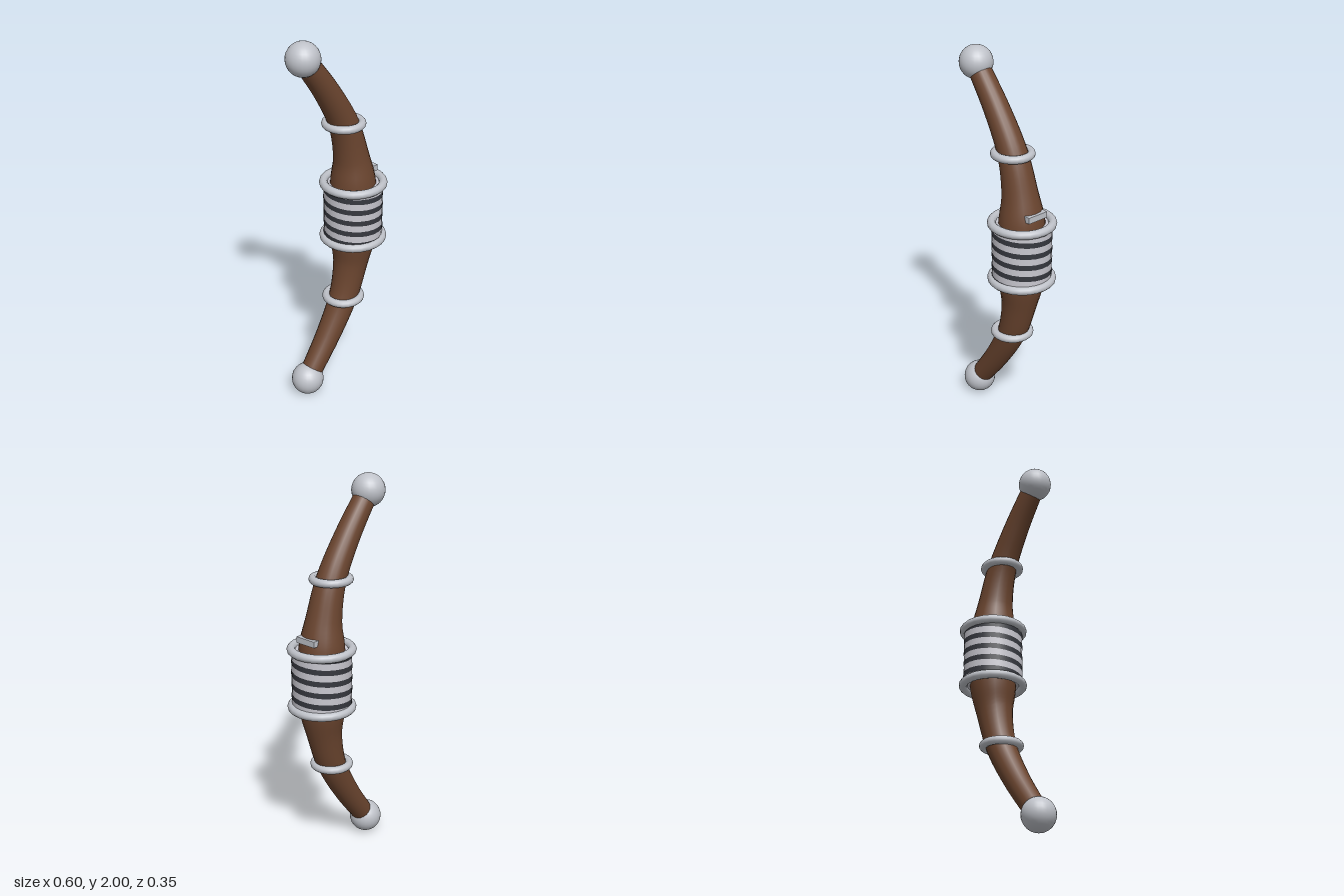
import * as THREE from 'three';

export function createModel() {
  const group = new THREE.Group();
  const mat = (name, color) => {
    const m = new THREE.MeshStandardMaterial({ color });
    m.name = name;
    return m;
  };
  const wood = mat('wood', 0x6b452f);
  const metal = mat('metal', 0xbfc2c9);
  const wrap = mat('pale wrap', 0xc9c8d0);
  const cord = mat('dark cord', 0x36383f);

  const add = (name, geometry, material, x = 0, y = 0, z = 0) => {
    const mesh = new THREE.Mesh(geometry, material);
    mesh.name = name;
    mesh.position.set(x, y, z);
    group.add(mesh);
    return mesh;
  };

  // Curved stave: upper half [x, height above middle, radius], mirrored downwards
  const half = [
    [-0.215, 0.915, 0.056], [-0.058, 0.7, 0.066], [0.055, 0.5, 0.077],
    [0.106, 0.31, 0.093], [0.12, 0.18, 0.117], [0.123, 0.06, 0.123],
  ];
  const stations = [
    ...half.map(([x, h, r]) => [x, 1 - h, r]),
    ...half.slice().reverse().map(([x, h, r]) => [x, 1 + h, r]),
  ];
  const path = new THREE.CatmullRomCurve3(stations.map(([x, y]) => new THREE.Vector3(x, y, 0)));
  const radii = new THREE.CatmullRomCurve3(stations.map(([, y, r]) => new THREE.Vector3(r, y, 0)));
  const ROWS = 66, SIDES = 20;
  const pos = [], idx = [];
  for (let i = 0; i <= ROWS; i++) {
    const t = i / ROWS;
    const c = path.getPoint(t), d = path.getTangent(t), r = radii.getPoint(t).x;
    for (let j = 0; j < SIDES; j++) {
      const a = (j / SIDES) * Math.PI * 2;
      const u = Math.cos(a) * r;
      pos.push(c.x + u * d.y, c.y - u * d.x, Math.sin(a) * r);
      if (i < ROWS) {
        const p = i * SIDES + j, q = i * SIDES + (j + 1) % SIDES;
        idx.push(p, p + SIDES, q, q, p + SIDES, q + SIDES);
      }
    }
  }
  const stave = new THREE.BufferGeometry();
  stave.setAttribute('position', new THREE.Float32BufferAttribute(pos, 3));
  stave.setIndex(idx);
  stave.computeVertexNormals();
  add('stave', stave, wood);

  // Grip sleeve
  const gripX = 0.123, gripR = 0.153, low = 0.85, high = 1.16;
  add('grip', new THREE.CylinderGeometry(gripR, gripR, high - low, 24), wrap, gripX, (low + high) / 2, 0);

  // Dark cord spiralling around the grip, trimmed at both ends
  const pitch = 0.062, band = 0.028, STEPS = 24, TURNS = 7;
  const cp = [], ci = [];
  const trim = (y) => Math.min(high, Math.max(low, y));
  for (let i = 0; i <= STEPS * TURNS; i++) {
    const a = (i / STEPS) * Math.PI * 2;
    const y = 1.234 - (pitch * i) / STEPS;
    const x = Math.sin(a) * (gripR + 0.002), z = Math.cos(a) * (gripR + 0.002);
    cp.push(x, trim(y + band / 2), z, x, trim(y - band / 2), z);
    if (i < STEPS * TURNS) {
      const p = i * 2;
      ci.push(p, p + 1, p + 2, p + 2, p + 1, p + 3);
    }
  }
  const spiral = new THREE.BufferGeometry();
  spiral.setAttribute('position', new THREE.Float32BufferAttribute(cp, 3));
  // Radial normals keep the trimmed ends smooth
  spiral.setAttribute('normal', new THREE.Float32BufferAttribute(
    cp.map((v, k) => (k % 3 === 1 ? 0 : v / (gripR + 0.002))), 3));
  spiral.setIndex(ci);
  add('gripCord', spiral, cord, gripX, 0, 0);

  // Metal rings and end balls, mirrored about the middle
  const ring = (name, x, y, radius, tube) =>
    add(name, new THREE.TorusGeometry(radius, tube, 12, 24).rotateX(Math.PI / 2), metal, x, y, 0);
  for (const [side, s] of [['upper', 1], ['lower', -1]]) {
    ring(side + 'GripRing', gripX, 1.005 + s * 0.155, 0.155, 0.022);
    ring(side + 'LimbRing', 0.053, 1.005 + s * 0.505, 0.092, 0.021);
    add(side + 'EndBall', new THREE.SphereGeometry(0.086, 24, 16), metal, -0.215, 1 + s * 0.914, 0);
  }

  // Small rest above the grip
  add('rest', new THREE.BoxGeometry(0.034, 0.032, 0.122), metal, 0.222, 1.223, 0);

  return group;
}
